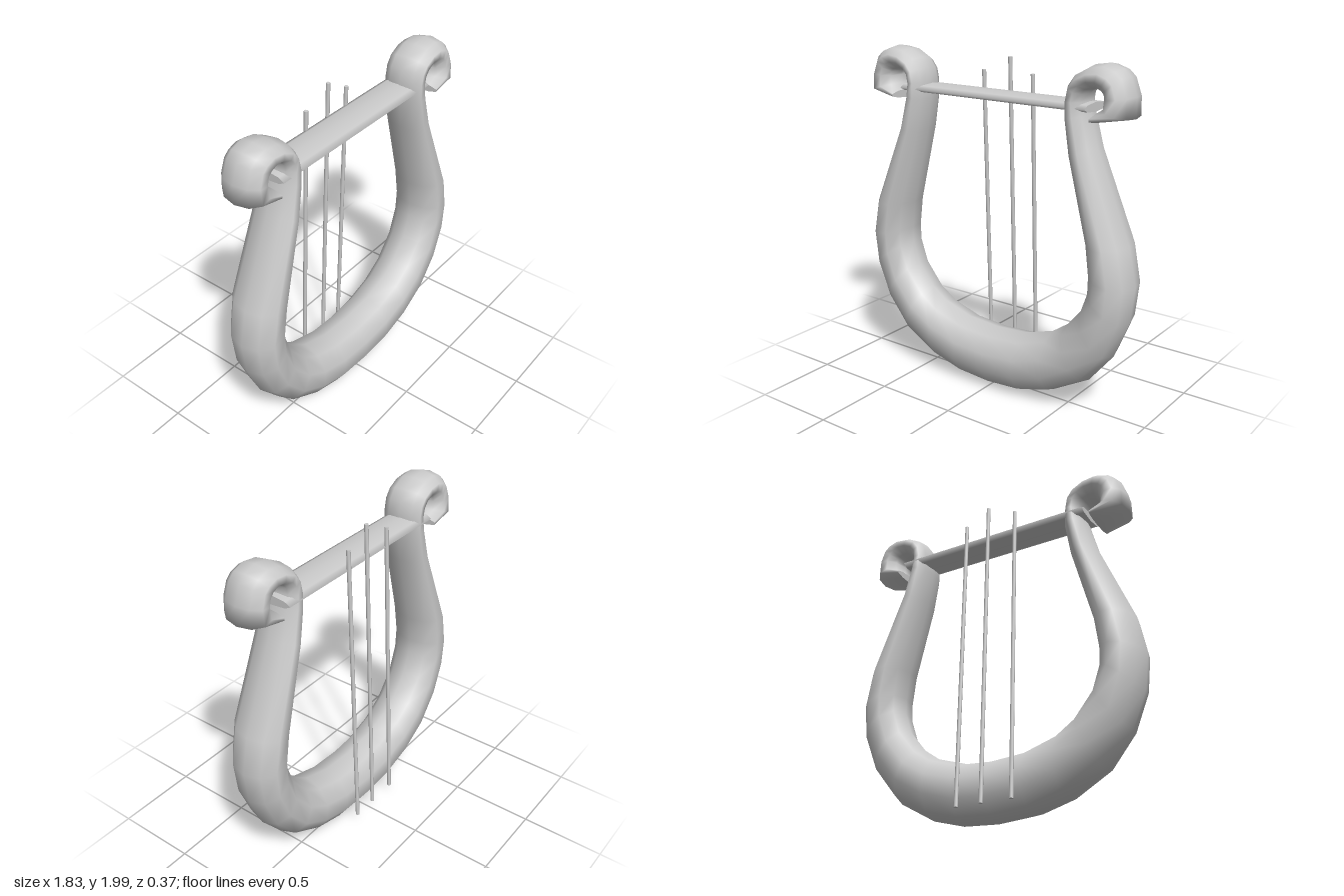
import * as THREE from 'three';

const mat = new THREE.MeshStandardMaterial({ color: 0xcccccc, side: THREE.DoubleSide });
const SIDES = 10, MID_Z = 0.025;

// Half of the frame, bottom centre to curl tip: outer x, y, inner x, y, half depth
const half = [
  [0, 0.005, 0, 0.365, 0.168],
  [0.22, 0.02, 0.21, 0.38, 0.168],
  [0.42, 0.075, 0.4, 0.44, 0.168],
  [0.65, 0.205, 0.5, 0.51, 0.168],
  [0.8, 0.39, 0.61, 0.645, 0.168],
  [0.89, 0.61, 0.655, 0.78, 0.168],
  [0.915, 0.82, 0.655, 0.87, 0.168],
  [0.87, 1.04, 0.635, 1.04, 0.168],
  [0.66, 1.54, 0.515, 1.5, 0.14],
  [0.61, 1.72, 0.483, 1.7, 0.132],
  [0.593, 1.79, 0.487, 1.8, 0.13],
  [0.6, 1.83, 0.503, 1.878, 0.13],
  [0.62, 1.852, 0.545, 1.937, 0.13],
  [0.65, 1.862, 0.63, 1.984, 0.13],
  [0.68, 1.86, 0.72, 1.998, 0.13],
  [0.7, 1.85, 0.794, 1.974, 0.13],
  [0.712, 1.835, 0.836, 1.937, 0.13],
  [0.714, 1.82, 0.873, 1.836, 0.133],
  [0.709, 1.775, 0.874, 1.725, 0.14],
  [0.672, 1.74, 0.672, 1.69, 0.135],
];

// Ten-sided sweep through the mirrored sections, closed at both curl tips
function frameGeometry() {
  const mirrored = half.slice(1).reverse().map(([ox, oy, ix, iy, d]) => [-ox, oy, -ix, iy, d]);
  const rings = [...mirrored, ...half];
  const pos = [], index = [];
  const addRing = ([ox, oy, ix, iy, d]) => {
    const start = pos.length / 3;
    for (let j = 0; j < SIDES; j++) {
      const a = (j / SIDES) * Math.PI * 2, t = (1 + Math.cos(a)) / 2;
      pos.push(ix + (ox - ix) * t, iy + (oy - iy) * t, MID_Z + d * Math.sin(a));
    }
    return start;
  };
  rings.forEach(addRing);
  for (let i = 0; i < rings.length - 1; i++) {
    for (let j = 0; j < SIDES; j++) {
      const a = i * SIDES + j, b = i * SIDES + (j + 1) % SIDES;
      index.push(a, a + SIDES, b, b, a + SIDES, b + SIDES);
    }
  }
  [rings[0], rings[rings.length - 1]].forEach((ring, end) => {
    const s = addRing(ring);
    for (let j = 1; j < SIDES - 1; j++) {
      if (end) index.push(s, s + j + 1, s + j);
      else index.push(s, s + j, s + j + 1);
    }
  });
  const geo = new THREE.BufferGeometry();
  geo.setAttribute('position', new THREE.Float32BufferAttribute(pos, 3));
  geo.setIndex(index);
  geo.computeVertexNormals();
  return geo;
}

export function createModel() {
  const group = new THREE.Group();
  const add = (name, geo) => {
    const mesh = new THREE.Mesh(geo, mat);
    mesh.name = name;
    group.add(mesh);
    return mesh;
  };

  add('frame', frameGeometry());

  // Flat, wide crossbar between the arms
  const barGeo = new THREE.CylinderGeometry(1, 1, 1.26, 8);
  barGeo.rotateZ(Math.PI / 2).scale(1, 0.026, 0.118);
  add('crossbar', barGeo).position.set(0, 1.762, 0.012);

  // Strings leaning against the back
  for (const [x, top] of [[-0.185, 1.88], [0, 1.965], [0.155, 1.88]]) {
    const from = new THREE.Vector3(x, 0.075, -0.17), to = new THREE.Vector3(x, top, -0.1);
    const dir = to.clone().sub(from);
    const string = add('string', new THREE.CylinderGeometry(0.012, 0.012, dir.length(), 8));
    string.position.copy(from).lerp(to, 0.5);
    string.quaternion.setFromUnitVectors(new THREE.Vector3(0, 1, 0), dir.normalize());
  }
  return group;
}
